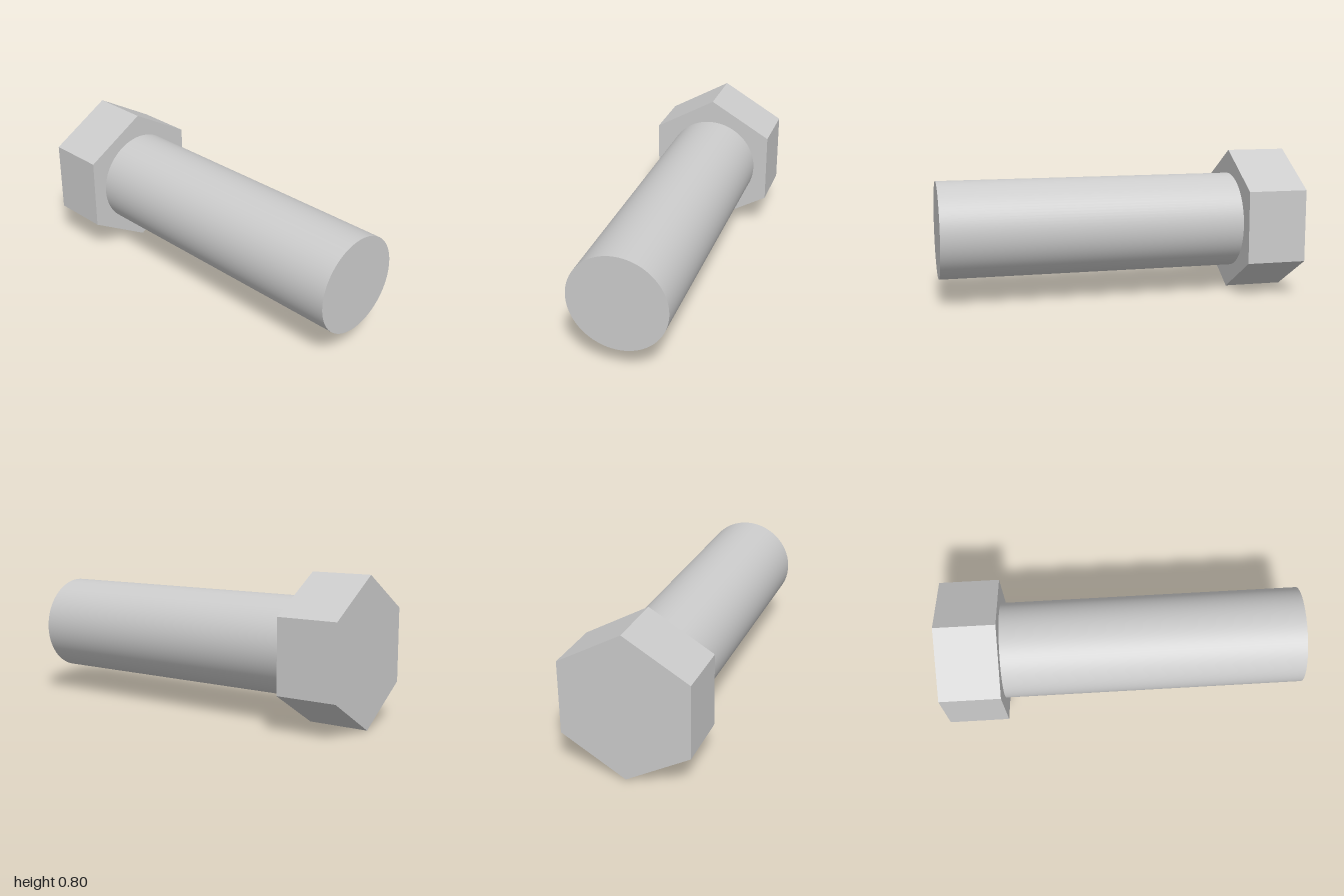
import * as THREE from 'three';

const AXIS_Y = 0.4; // height of the bolt's axis

// Cylinder lying along z, spanning z0 to z1
function rod(name, radius, z0, z1, sides, flatShading) {
  const geometry = new THREE.CylinderGeometry(radius, radius, z1 - z0, sides);
  geometry.rotateX(Math.PI / 2);
  const material = new THREE.MeshStandardMaterial({ color: 0xcccccc, flatShading });
  const mesh = new THREE.Mesh(geometry, material);
  mesh.name = name;
  mesh.position.set(0, AXIS_Y, (z0 + z1) / 2);
  return mesh;
}

export function createModel() {
  const bolt = new THREE.Group();
  bolt.name = 'hexBolt';

  // Hexagonal head at the back, corners pointing up and down
  bolt.add(rod('head', 0.4, -1, -0.667, 6, true));

  // Smooth round shank running to the front
  bolt.add(rod('shank', 0.267, -0.667, 1, 96, false));

  return bolt;
}
